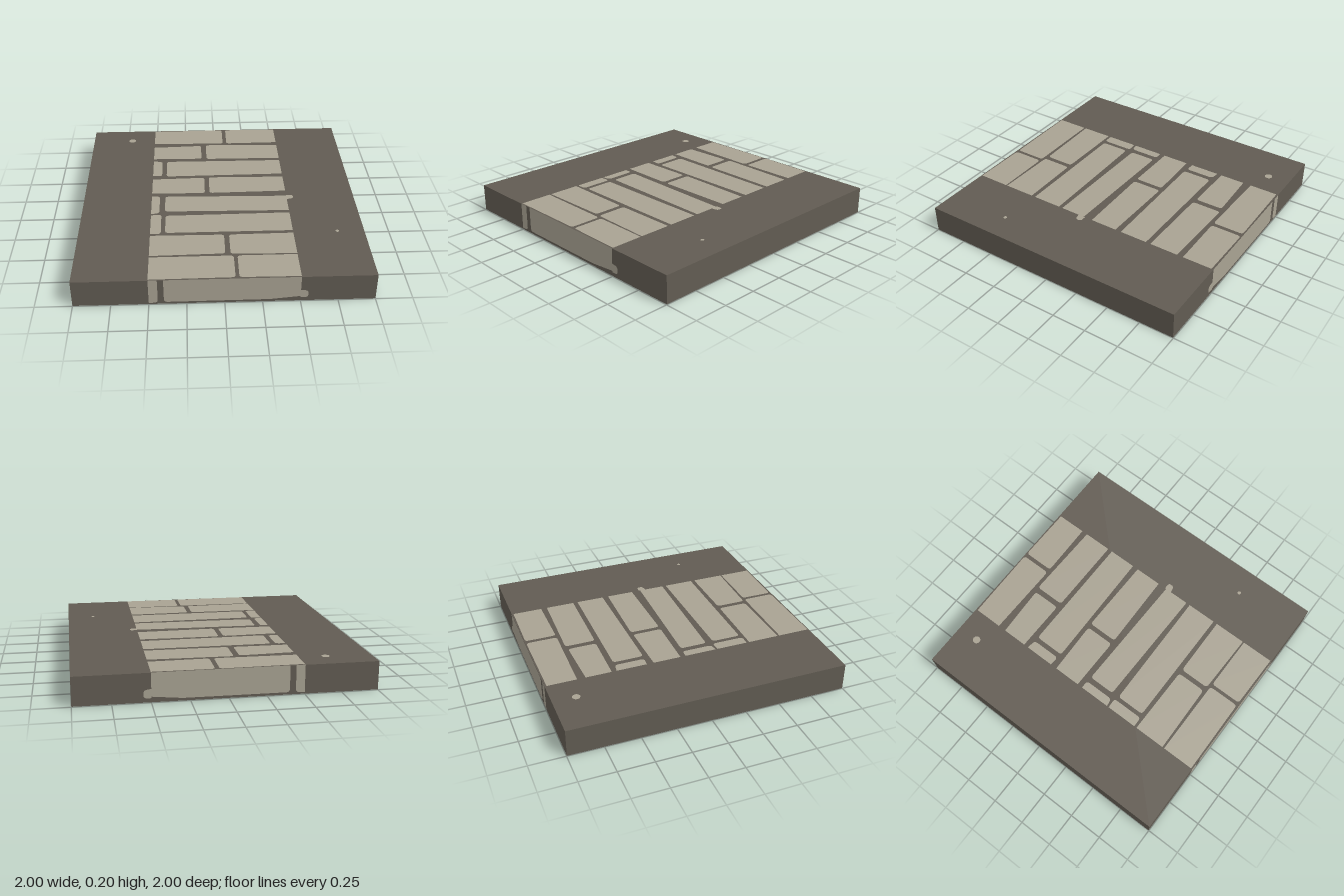
import * as THREE from 'three';

const darkStone = new THREE.MeshStandardMaterial({ color: 0x615b52 });
darkStone.name = 'dark mortar stone';
const paleBrick = new THREE.MeshStandardMaterial({ color: 0xa8a292 });
paleBrick.name = 'pale brick';

const H = 0.2;      // slab height
const LIFT = 0.002; // how far painted faces sit above the slab core
const R = 0.025;    // brick corner radius

// Polygon whose corners [x, y, radius] are rounded
function roundedShape(corners) {
  const shape = new THREE.Shape();
  corners.forEach(([x, y, r], i) => {
    const p = new THREE.Vector2(x, y);
    const toward = ([cx, cy]) => new THREE.Vector2(cx, cy).sub(p).setLength(r).add(p);
    const a = toward(corners.at(i - 1));
    const b = toward(corners[(i + 1) % corners.length]);
    if (i === 0) shape.moveTo(a.x, a.y); else shape.lineTo(a.x, a.y);
    if (r > 0) shape.quadraticCurveTo(x, y, b.x, b.y);
  });
  shape.closePath();
  return shape;
}

// Each course: joint start, joint end, then back/front z at the left edge,
// left of the joint, right of the joint and the right edge
const COURSES = [
  [0.06, 0.09, [-0.985, -0.775], [-0.99, -0.765], [-0.99, -0.765], [-0.985, -0.77]],
  [-0.12, -0.08, [-0.715, -0.53], [-0.73, -0.525], [-0.74, -0.52], [-0.725, -0.515]],
  [-0.43, -0.395, [-0.495, -0.275], [-0.485, -0.27], [-0.485, -0.265], [-0.48, -0.275]],
  [-0.105, -0.07, [-0.225, -0.025], [-0.235, -0.02], [-0.24, -0.02], [-0.23, -0.03]],
  [-0.44, -0.40, [0.015, 0.245], [0.015, 0.235], [0.02, 0.215], [0.04, 0.23]],
  [-0.425, -0.395, [0.26, 0.49], [0.255, 0.49], [0.27, 0.48], [0.26, 0.48]],
  [0.015, 0.05, [0.51, 0.74], [0.515, 0.73], [0.515, 0.735], [0.51, 0.745]],
  [0.07, 0.095, [0.755, 0.99], [0.755, 0.985], [0.755, 0.985], [0.755, 0.99]],
];

// Pale paving seen on the broad faces, drawn with y = -z
function pavingShapes() {
  const shapes = [];
  for (const [x0, x1, a, b, c, d] of COURSES) {
    shapes.push(roundedShape([[-0.5, -a[1], 0], [x0, -b[1], R], [x0, -b[0], R], [-0.5, -a[0], 0]]));
    shapes.push(roundedShape([[x1, -c[1], R], [0.5, -d[1], 0], [0.5, -d[0], 0], [x1, -c[0], R]]));
  }
  // Chip beyond the strip edge and two loose specks
  shapes.push(roundedShape([[0.5, -0.085, 0], [0.55, -0.075, 0.02], [0.55, -0.03, 0.02], [0.5, -0.03, 0]]));
  for (const [x, z, r] of [[-0.685, -0.835, 0.028], [0.81, 0.5, 0.013]]) {
    shapes.push(new THREE.Shape().absarc(x, -z, r, 0, Math.PI * 2));
  }
  return shapes;
}

// Pale bricks on the narrow ends; side = -1 mirrors x for the back
function endShapes(side) {
  return [
    [[-0.5, 0.012, 0], [-0.44, 0.015, R], [-0.44, H, 0], [-0.5, H, 0]],
    [[-0.4, 0.018, R], [0.3, 0.02, 0], [0.5, 0.04, 0], [0.5, H, 0], [-0.4, H, 0]],
    [[0.499, 0.03, 0], [0.55, 0.03, 0.022], [0.55, 0.085, 0.022], [0.499, 0.092, 0]],
  ].map(pts => roundedShape(pts.map(([x, y, r]) => [x * side, y, r])));
}

function paintedFace(name, shapes) {
  const mesh = new THREE.Mesh(new THREE.ShapeGeometry(shapes, 8), paleBrick);
  mesh.name = name;
  return mesh;
}

export function createModel() {
  const model = new THREE.Group();
  model.name = 'brick path tile';

  // Slab core
  const slab = new THREE.Mesh(new THREE.BoxGeometry(2, H - 2 * LIFT, 2 - 2 * LIFT), darkStone);
  slab.name = 'slab';
  slab.position.y = H / 2;
  model.add(slab);

  // Brick path on the top and underside
  const top = paintedFace('topBricks', pavingShapes());
  top.rotation.x = -Math.PI / 2;
  top.position.y = H;
  const bottom = paintedFace('undersideBricks', pavingShapes());
  bottom.rotation.x = Math.PI / 2;

  // Brick ends
  const front = paintedFace('frontBricks', endShapes(1));
  front.position.z = 1;
  const back = paintedFace('backBricks', endShapes(-1));
  back.rotation.y = Math.PI;
  back.position.z = -1;

  model.add(top, bottom, front, back);
  return model;
}
